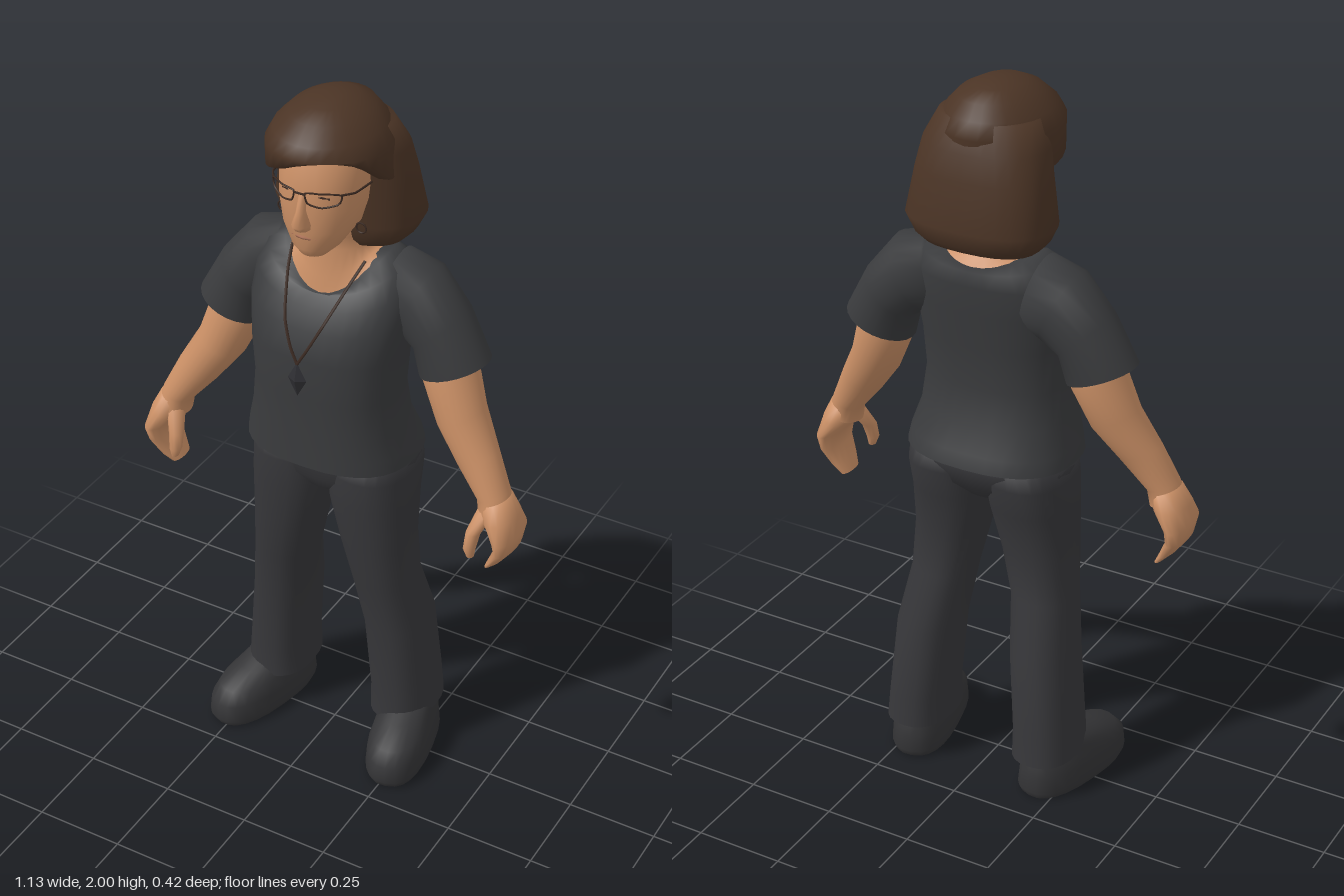
import * as THREE from 'three';

const mat = (name, color, side = THREE.FrontSide) => {
  const m = new THREE.MeshStandardMaterial({ color, side });
  m.name = name;
  return m;
};

// Lofts closed cross-sections from bottom to top.
// ring: [x, y, z, rx, rz, tilt in degrees, roundness, front drop, back drop] or a function of the angle
function loft(rings, n = 24) {
  const pos = [], idx = [], rows = rings.length;
  const point = (ring, t) => {
    if (typeof ring === 'function') return ring(t);
    const [x, y, z, rx, rz, tilt = 0, e = 2, front = 0, back = 0] = ring;
    const c = Math.cos(t), s = Math.sin(t), a = tilt * Math.PI / 180;
    const u = rx * Math.sign(c) * Math.abs(c) ** (2 / e);
    const w = rz * Math.sign(s) * Math.abs(s) ** (2 / e);
    return [x + u * Math.cos(a), y + u * Math.sin(a) - (s > 0 ? front : back) * s * s, z + w];
  };
  const addRow = ring => {
    const sum = [0, 0, 0];
    for (let j = 0; j < n; j++) {
      const p = point(ring, j / n * Math.PI * 2);
      pos.push(...p);
      p.forEach((v, k) => { sum[k] += v / n; });
    }
    return sum;
  };
  let mid;
  rings.forEach(r => { mid = addRow(r); });
  for (let i = 0; i < rows - 1; i++) for (let j = 0; j < n; j++) {
    const a = i * n + j, b = i * n + (j + 1) % n;
    idx.push(a, a + n, b, b, a + n, b + n);
  }
  // Rounded top cap, sharp-edged bottom cap
  const top = pos.length / 3;
  pos.push(...mid);
  for (let j = 0; j < n; j++) idx.push(top, (rows - 1) * n + (j + 1) % n, (rows - 1) * n + j);
  const base = pos.length / 3;
  const low = addRow(rings[0]);
  pos.push(...low);
  for (let j = 0; j < n; j++) idx.push(base + n, base + j, base + (j + 1) % n);
  const g = new THREE.BufferGeometry();
  g.setAttribute('position', new THREE.Float32BufferAttribute(pos, 3));
  g.setIndex(idx);
  g.computeVertexNormals();
  return g;
}

// Mirrored copy across x with corrected winding
function mirror(geo) {
  const g = geo.clone();
  const p = g.attributes.position;
  for (let i = 0; i < p.count; i++) p.setX(i, -p.getX(i));
  const a = g.index.array;
  for (let i = 0; i < a.length; i += 3) [a[i + 1], a[i + 2]] = [a[i + 2], a[i + 1]];
  g.computeVertexNormals();
  return g;
}

const tube = (points, r, closed = false) => new THREE.TubeGeometry(
  new THREE.CatmullRomCurve3(points.map(p => new THREE.Vector3(...p)), closed, 'catmullrom', 0.3), 24, r, 5, closed);

export function createModel() {
  const model = new THREE.Group();
  model.name = 'standingWoman';
  const skin = mat('skin', 0xcb9066);
  const hair = mat('brownHair', 0x4b3425);
  const shirt = mat('charcoalShirt', 0x3a3b3d);
  const cloth = mat('darkTrousers', 0x37373a);
  const leather = mat('darkShoes', 0x343436);
  const lips = mat('lips', 0xb0755a);
  const dark = mat('darkBrown', 0x3b2a22, THREE.DoubleSide);
  const pendantMat = mat('pendantGrey', 0x2e2e32);
  const add = (name, geo, m) => {
    const mesh = new THREE.Mesh(geo, m);
    mesh.name = name;
    model.add(mesh);
  };
  const pair = (name, geo, m) => {
    add(name + 'Left', geo, m);
    add(name + 'Right', mirror(geo), m);
  };

  // Shirt with scooped neckline
  add('shirtBody', loft([
    [0, 0.99, -0.01, 0.237, 0.182, 0, 2.5],
    [0, 1.03, -0.005, 0.23, 0.176, 0, 2.5],
    [0, 1.1, 0.012, 0.211, 0.158, 0, 2.5],
    [0, 1.2, 0.02, 0.2, 0.15, 0, 2.5],
    [0, 1.32, 0.018, 0.208, 0.158, 0, 2.5],
    [0, 1.42, 0, 0.222, 0.155, 0, 2.4, 0.02],
    [0, 1.5, -0.02, 0.22, 0.142, 0, 2.3, 0.05],
    [0, 1.555, -0.028, 0.195, 0.132, 0, 2.1, 0.07, 0.015],
    [0, 1.585, -0.03, 0.147, 0.117, 0, 2, 0.115, 0.04]], 32), shirt);
  pair('sleeve', loft([
    [0.328, 1.29, -0.045, 0.099, 0.092, 21],
    [0.285, 1.39, -0.05, 0.09, 0.095, 42],
    [0.218, 1.457, -0.053, 0.109, 0.097, 64],
    [0.145, 1.48, -0.05, 0.107, 0.09, 76]]), shirt);

  // Neck, filling the neckline
  add('neck', loft([
    [0, 1.578, -0.03, 0.142, 0.112, 0, 2, 0.11, 0.04],
    [0, 1.575, -0.025, 0.105, 0.098, 0, 2, 0.06, 0.01],
    [0, 1.595, -0.015, 0.087, 0.075],
    [0, 1.63, -0.01, 0.08, 0.075],
    [0, 1.72, 0, 0.08, 0.075]]), skin);

  // Arms and hands
  pair('arm', loft([
    [0.492, 0.935, 0.02, 0.046, 0.056, 15],
    [0.481, 0.98, 0.016, 0.044, 0.05, 20],
    [0.422, 1.07, -0.002, 0.059, 0.058, 24],
    [0.36, 1.165, -0.026, 0.068, 0.073, 25],
    [0.318, 1.27, -0.042, 0.076, 0.078, 22],
    [0.295, 1.35, -0.048, 0.06, 0.06, 30]]), skin);
  pair('hand', loft([
    [0.485, 0.763, 0.015, 0.012, 0.04, 10],
    [0.505, 0.79, 0.018, 0.021, 0.055, 10],
    [0.53, 0.835, 0.02, 0.026, 0.07, 0],
    [0.532, 0.88, 0.022, 0.033, 0.083, 0],
    [0.508, 0.925, 0.02, 0.046, 0.068, 10],
    [0.488, 0.97, 0.017, 0.042, 0.052, 20]], 16), skin);
  pair('thumb', loft([
    [0.455, 0.815, 0.088, 0.01, 0.012],
    [0.452, 0.84, 0.088, 0.017, 0.019],
    [0.456, 0.885, 0.076, 0.02, 0.023],
    [0.477, 0.945, 0.04, 0.025, 0.03]], 10), skin);

  // Trousers
  add('pelvis', loft([
    [0, 0.865, -0.01, 0.12, 0.09],
    [0, 0.91, -0.018, 0.222, 0.125, 0, 2.5],
    [0, 0.97, -0.025, 0.23, 0.142, 0, 2.5],
    [0, 1.03, -0.02, 0.21, 0.135, 0, 2.5]]), cloth);
  pair('trouserLeg', loft([
    [0.2, 0.115, -0.066, 0.09, 0.124, 0, 2.4],
    [0.197, 0.2, -0.064, 0.087, 0.118, 0, 2.4],
    [0.178, 0.42, -0.053, 0.088, 0.113, 0, 2.3],
    [0.155, 0.58, -0.015, 0.087, 0.1, 0, 2.3],
    [0.134, 0.72, -0.005, 0.1, 0.108, 0, 2.3],
    [0.118, 0.85, -0.01, 0.116, 0.125, 0, 2.3],
    [0.116, 0.94, -0.022, 0.115, 0.14, 0, 2.4],
    [0.112, 1.02, -0.02, 0.11, 0.13, 0, 2.4]]), cloth);

  // Shoes, toes turned out
  const shoe = loft([
    [0, 0, 0, 0.08, 0.182, 0, 2.5],
    [0, 0.02, 0, 0.088, 0.192, 0, 2.5],
    [0, 0.07, 0, 0.085, 0.188, 0, 2.4],
    [0, 0.105, -0.01, 0.076, 0.167, 0, 2.3],
    [0, 0.13, -0.045, 0.066, 0.122],
    [0, 0.17, -0.085, 0.055, 0.07]]);
  shoe.rotateY(0.22);
  shoe.translate(0.23, 0, 0.012);
  pair('shoe', shoe, leather);

  // Head and facial features
  add('head', loft([
    [0, 1.61, 0.1, 0.036, 0.038],
    [0, 1.635, 0.085, 0.063, 0.07],
    [0, 1.69, 0.055, 0.097, 0.106, 0, 2.2],
    [0, 1.75, 0.038, 0.112, 0.126, 0, 2.2],
    [0, 1.8, 0.03, 0.116, 0.13, 0, 2.2],
    [0, 1.88, 0.03, 0.114, 0.12, 0, 2.1],
    [0, 1.95, 0.02, 0.075, 0.08]]), skin);
  add('nose', loft([
    [0, 1.7, 0.158, 0.022, 0.025],
    [0, 1.715, 0.16, 0.024, 0.036],
    [0, 1.75, 0.156, 0.014, 0.028],
    [0, 1.8, 0.15, 0.01, 0.018]], 10), skin);
  add('mouth', tube([[-0.035, 1.671, 0.147], [0, 1.674, 0.159], [0.035, 1.671, 0.147]], 0.005), lips);

  // Glasses with temple arms, eyes and hoop earrings
  pair('eye', tube([[0.03, 1.79, 0.152], [0.048, 1.793, 0.148], [0.066, 1.789, 0.139]], 0.004), dark);
  pair('glassesRim', tube([[0.016, 1.808, 0.173], [0.055, 1.812, 0.165], [0.096, 1.806, 0.135],
    [0.09, 1.78, 0.138], [0.055, 1.771, 0.16], [0.022, 1.78, 0.172]], 0.0025, true), dark);
  pair('glassesTemple', tube([[0.096, 1.806, 0.135], [0.116, 1.803, 0.1], [0.121, 1.8, 0.03]], 0.003), dark);
  add('glassesBridge', tube([[-0.016, 1.804, 0.173], [0, 1.807, 0.178], [0.016, 1.804, 0.173]], 0.003), dark);
  const hoop = new THREE.TorusGeometry(0.014, 0.0025, 5, 14);
  hoop.translate(0.112, 1.685, 0.065);
  pair('earring', hoop, dark);

  // Hair: shoulder-length mass behind the face, plus a crown with swept fringe
  add('hairLength', loft([
    [0, 1.6, -0.08, 0.16, 0.1, 0, 2.5],
    [0, 1.62, -0.082, 0.18, 0.115, 0, 2.5],
    [0, 1.665, -0.085, 0.202, 0.126, 0, 2.5],
    [0, 1.79, -0.072, 0.182, 0.114, 0, 2.4],
    [0, 1.86, -0.058, 0.168, 0.116, 0, 2.3],
    [0, 1.93, -0.04, 0.135, 0.1, 0, 2.1]], 28), hair);
  const fringe = (rx, front, lift) => t => {
    const c = Math.cos(t), s = Math.sin(t), f = Math.max(0, s);
    return [rx * c, 1.79 + lift + f * (0.085 + 0.06 * c - lift * 0.3), s > 0 ? front * s : 0.15 * s];
  };
  add('hairCrown', loft([
    fringe(0.135, 0.163, 0),
    fringe(0.163, 0.192, 0.015),
    [0, 1.895, 0.018, 0.158, 0.187, 0, 1.9, -0.012],
    [0, 1.935, 0.018, 0.136, 0.163],
    [0, 1.972, 0.01, 0.1, 0.127],
    [0, 1.993, 0.01, 0.06, 0.08],
    [0, 2, 0.005, 0.025, 0.03]], 28), hair);

  // Necklace cord and faceted pendant
  pair('necklaceCord', tube([[0.105, 1.57, 0.03], [0.088, 1.52, 0.085], [0.055, 1.43, 0.158],
    [0.025, 1.365, 0.185], [0, 1.32, 0.193]], 0.004), dark);
  const pendant = new THREE.OctahedronGeometry(1);
  pendant.scale(0.027, 0.05, 0.014);
  pendant.translate(0, 1.275, 0.193);
  add('pendant', pendant, pendantMat);
  return model;
}
